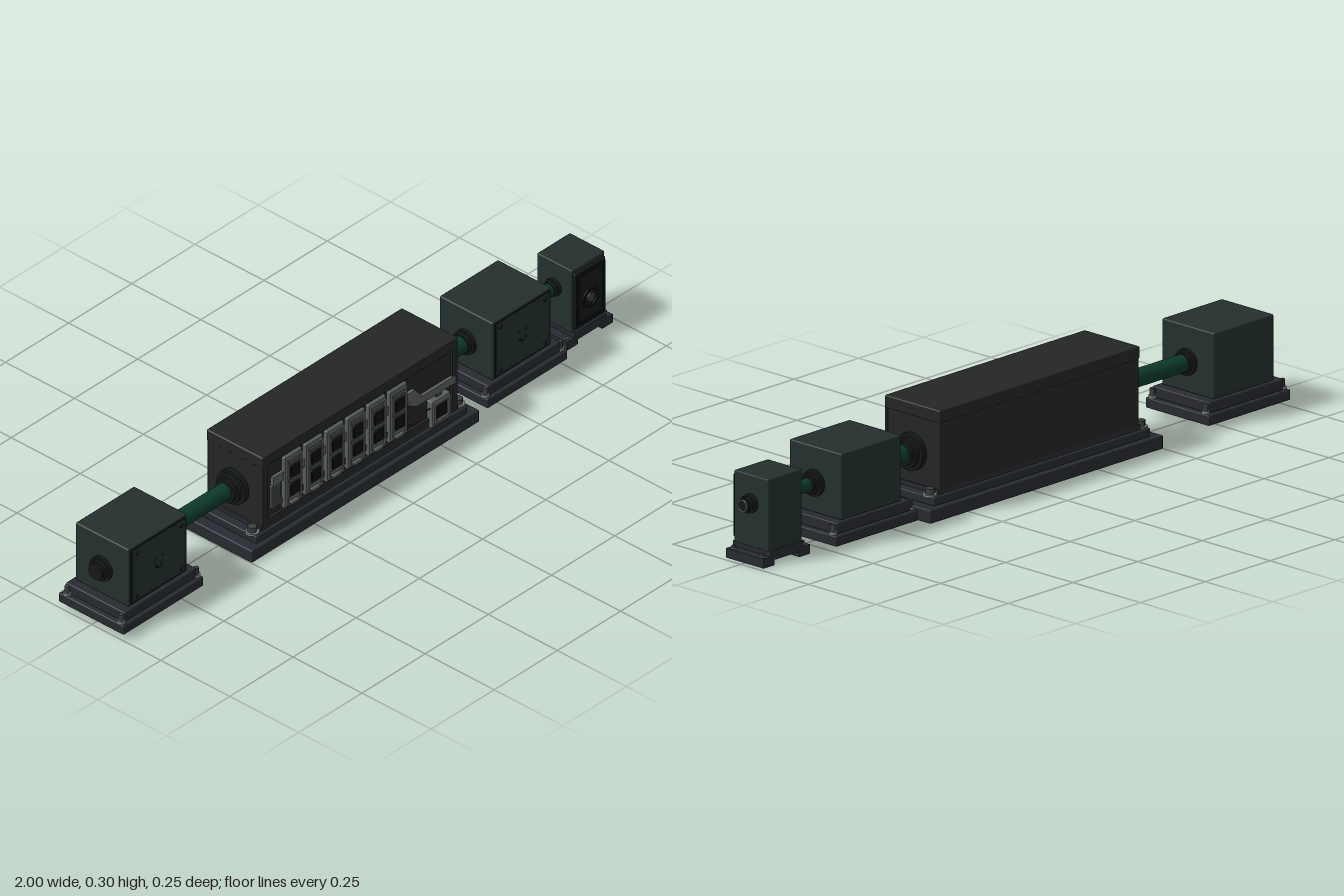
import * as THREE from 'three';
import { RoundedBoxGeometry } from 'three/addons/geometries/RoundedBoxGeometry.js';

const mat = (color) => new THREE.MeshStandardMaterial({ color });
const M = {
  green: mat(0x24302e), lid: mat(0x232625), base: mat(0x272a31), pipe: mat(0x0d3a2a),
  grey: mat(0x5a5f5c), trim: mat(0x3c403f), dark: mat(0x0c0e0e), black: mat(0x151819),
  steel: mat(0x7a7e7e), red: mat(0x5a1414),
};
const AXIS = 0.163; // height of the pipe line

function add(parent, name, geo, material, x = 0, y = 0, z = 0) {
  const mesh = new THREE.Mesh(geo, material);
  mesh.name = name;
  mesh.position.set(x, y, z);
  parent.add(mesh);
  return mesh;
}

// Box given by its limits, optionally with softened edges
function box(parent, name, material, [x0, x1], [y0, y1], [z0, z1], r = 0) {
  const s = [x1 - x0, y1 - y0, z1 - z0];
  const geo = r ? new RoundedBoxGeometry(...s, 2, r) : new THREE.BoxGeometry(...s);
  return add(parent, name, geo, material, (x0 + x1) / 2, (y0 + y1) / 2, (z0 + z1) / 2);
}

// Cylinder lying along x, from x0 to x1
function rod(parent, name, material, x0, x1, r) {
  const geo = new THREE.CylinderGeometry(r, r, x1 - x0, 28).rotateZ(Math.PI / 2);
  return add(parent, name, geo, material, (x0 + x1) / 2, AXIS, 0);
}

// Stepped collar on a wall at x, pointing along dir
function flange(parent, x, dir, r, length) {
  const pts = [[0, 0], [r, 0], [r, 0.4], [r * 0.8, 0.4], [r * 0.8, 0.75], [r * 0.65, 0.75], [r * 0.65, 1], [0, 1]]
    .map(([a, b]) => new THREE.Vector2(a, b * length));
  // Repeated points keep the steps sharp
  const geo = new THREE.LatheGeometry(pts.flatMap((p) => [p, p.clone()]), 28).rotateZ(-dir * Math.PI / 2);
  add(parent, 'flange', geo, M.black, x, AXIS, 0);
}

function bolt(parent, x, y, z, r, h) {
  add(parent, 'washer', new THREE.CylinderGeometry(r * 1.4, r * 1.4, h * 0.3, 20), M.steel, x, y + h * 0.15, z);
  add(parent, 'bolt', new THREE.CylinderGeometry(r, r, h, 6), M.trim, x, y + h / 2, z);
}

// Flat rectangular frame facing +z
function frame(parent, name, material, w, h, border, depth, x, y, z) {
  const rect = (P, a, b) => {
    const p = new P();
    p.moveTo(-a, -b); p.lineTo(a, -b); p.lineTo(a, b); p.lineTo(-a, b); p.closePath();
    return p;
  };
  const shape = rect(THREE.Shape, w / 2, h / 2);
  shape.holes.push(rect(THREE.Path, w / 2 - border, h / 2 - border));
  return add(parent, name, new THREE.ExtrudeGeometry(shape, { depth, bevelEnabled: false }), material, x, y, z);
}

const screw = (parent, x, y, z, r) =>
  add(parent, 'screw', new THREE.CylinderGeometry(r, r, 0.005, 12).rotateX(Math.PI / 2), M.black, x, y, z);

// Square junction housing on a two-step base
function junctionBox(cx) {
  const g = new THREE.Group();
  g.name = 'junctionBox';
  g.position.x = cx;
  box(g, 'lowerBase', M.base, [-0.158, 0.158], [0.018, 0.047], [-0.12, 0.115], 0.003);
  box(g, 'upperBase', M.base, [-0.143, 0.143], [0.047, 0.078], [-0.108, 0.104], 0.003);
  box(g, 'housing', M.green, [-0.116, 0.116], [0.078, 0.264], [-0.098, 0.094], 0.004);
  box(g, 'frontPlate', M.green, [-0.103, 0.103], [0.088, 0.253], [0.092, 0.098], 0.002);
  frame(g, 'plateSeam', M.black, 0.216, 0.175, 0.004, 0.003, 0, 0.1705, 0.093);
  for (const sx of [-1, 1]) {
    for (const sy of [-1, 1]) {
      screw(g, sx * 0.088, 0.171 + sy * 0.07, 0.098, 0.006);
      bolt(g, sx * 0.148, 0.047, sy * 0.098, 0.008, 0.028);
      box(g, 'footPad', M.dark, [sx * 0.115 - 0.022, sx * 0.115 + 0.022], [0.015, 0.02], [sy * 0.085 - 0.018, sy * 0.085 + 0.018]);
    }
    // Small socket marks in the middle of the plate
    screw(g, sx * 0.015, 0.185, 0.097, 0.004);
    flange(g, sx * 0.115, sx, 0.037, 0.03);
  }
  add(g, 'socketRing', new THREE.TorusGeometry(0.012, 0.0025, 8, 24, Math.PI).rotateZ(Math.PI), M.black, 0, 0.165, 0.098);
  return g;
}

// One upright switch module with two windows
function switchModule(x) {
  const g = new THREE.Group();
  g.name = 'switchModule';
  g.position.x = x;
  box(g, 'moduleBody', M.grey, [-0.035, 0.035], [0.095, 0.262], [0.095, 0.108], 0.004);
  frame(g, 'moduleRim', M.grey, 0.062, 0.15, 0.006, 0.006, 0, 0.178, 0.107);
  for (const y of [0.21, 0.152]) {
    box(g, 'windowSurround', M.trim, [-0.024, 0.024], [y - 0.026, y + 0.026], [0.105, 0.112], 0.002);
    box(g, 'window', M.dark, [-0.018, 0.018], [y - 0.018, y + 0.018], [0.108, 0.117], 0.002);
  }
  box(g, 'handle', M.grey, [-0.016, 0.016], [0.1, 0.112], [0.105, 0.115], 0.003);
  return g;
}

function mainCabinet() {
  const g = new THREE.Group();
  g.name = 'mainCabinet';
  box(g, 'lowerBase', M.base, [-0.5, 0.4], [0, 0.038], [-0.127, 0.122], 0.003);
  box(g, 'upperBase', M.base, [-0.468, 0.368], [0.038, 0.062], [-0.111, 0.109], 0.003);
  box(g, 'plinth', M.base, [-0.44, 0.34], [0.062, 0.075], [-0.1, 0.1]);
  box(g, 'cabinetBody', M.lid, [-0.434, 0.336], [0.07, 0.268], [-0.1, 0.094], 0.003);
  box(g, 'cabinetLid', M.lid, [-0.436, 0.338], [0.262, 0.298], [-0.102, 0.102], 0.004);
  frame(g, 'frontFrame', M.lid, 0.77, 0.225, 0.02, 0.01, -0.049, 0.183, 0.092);
  for (const x of [-0.457, 0.357]) for (const z of [-0.084, 0.084]) bolt(g, x, 0.06, z, 0.014, 0.022);
  for (let i = 0; i < 6; i++) g.add(switchModule(-0.32 + i * 0.083));

  // Busbar behind the modules, stepping down at its right end
  const bar = new THREE.Shape([[-0.395, 0.215], [-0.395, 0.188], [0.14, 0.188], [0.145, 0.172], [0.175, 0.157], [0.325, 0.157],
    [0.325, 0.18], [0.195, 0.18], [0.165, 0.215]].map((p) => new THREE.Vector2(...p)));
  add(g, 'busbar', new THREE.ExtrudeGeometry(bar, { depth: 0.012, bevelEnabled: false }), M.grey, 0, 0, 0.092);
  box(g, 'busbarBracket', M.trim, [-0.4, -0.36], [0.112, 0.188], [0.092, 0.102], 0.003);
  box(g, 'lowerRail', M.trim, [-0.36, 0.14], [0.112, 0.13], [0.092, 0.1]);

  // Control box at the lower right
  box(g, 'controlBox', M.grey, [0.223, 0.297], [0.062, 0.148], [0.09, 0.112], 0.004);
  frame(g, 'controlRim', M.grey, 0.066, 0.066, 0.008, 0.008, 0.26, 0.108, 0.11);
  box(g, 'controlWindow', M.dark, [0.24, 0.28], [0.088, 0.128], [0.108, 0.116], 0.002);
  box(g, 'controlLink', M.trim, [0.25, 0.27], [0.14, 0.165], [0.092, 0.104]);
  const wire = new THREE.CatmullRomCurve3([[0.13, 0.112, 0.1], [0.165, 0.108, 0.106], [0.195, 0.128, 0.108], [0.228, 0.125, 0.106]]
    .map((p) => new THREE.Vector3(...p)));
  add(g, 'redWire', new THREE.TubeGeometry(wire, 24, 0.002, 6), M.red);
  flange(g, -0.434, -1, 0.052, 0.04);
  flange(g, 0.336, 1, 0.052, 0.04);
  return g;
}

// Narrow end unit on a footed base
function endUnit() {
  const g = new THREE.Group();
  g.name = 'endUnit';
  g.position.x = 0.895;
  const foot = new THREE.Shape([[-0.09, 0], [-0.048, 0], [-0.048, 0.015], [0.048, 0.015], [0.048, 0], [0.09, 0], [0.09, 0.026],
    [0.062, 0.026], [0.062, 0.042], [-0.062, 0.042], [-0.062, 0.026], [-0.09, 0.026]].map((p) => new THREE.Vector2(...p)));
  add(g, 'footedBase', new THREE.ExtrudeGeometry(foot, { depth: 0.14, bevelEnabled: false }), M.base, 0, 0, -0.07);
  box(g, 'unitBody', M.green, [-0.065, 0.065], [0.04, 0.242], [-0.063, 0.063], 0.003);
  box(g, 'unitDoor', M.black, [-0.06, 0.06], [0.052, 0.23], [0.062, 0.071], 0.003);
  frame(g, 'doorRim', M.dark, 0.11, 0.165, 0.008, 0.005, 0, 0.141, 0.07);
  add(g, 'dialRing', new THREE.TorusGeometry(0.028, 0.004, 8, 32), M.dark, 0, 0.13, 0.071);
  add(g, 'dialKnob', new THREE.CylinderGeometry(0.014, 0.014, 0.007, 24).rotateX(Math.PI / 2), M.trim, 0, 0.13, 0.072);
  for (const sx of [-1, 1]) {
    for (const y of [0.068, 0.214]) screw(g, sx * 0.044, y, 0.071, 0.005);
    for (const z of [-0.052, 0.052]) bolt(g, sx * 0.078, 0.026, z, 0.006, 0.01);
  }
  flange(g, -0.064, -1, 0.026, 0.03);
  flange(g, 0.064, 1, 0.026, 0.035);
  add(g, 'outletRing', new THREE.TorusGeometry(0.016, 0.002, 8, 28).rotateY(Math.PI / 2), M.steel, 0.099, AXIS, 0);
  return g;
}

export function createModel() {
  const model = new THREE.Group();
  model.name = 'switchgearLine';
  model.add(mainCabinet(), junctionBox(-0.842), junctionBox(0.598), endUnit());
  // Pipes joining the units
  rod(model, 'leftPipe', M.pipe, -0.73, -0.43, 0.025);
  rod(model, 'middlePipe', M.pipe, 0.33, 0.49, 0.025);
  rod(model, 'rightPipe', M.pipe, 0.71, 0.84, 0.019);
  return model;
}
